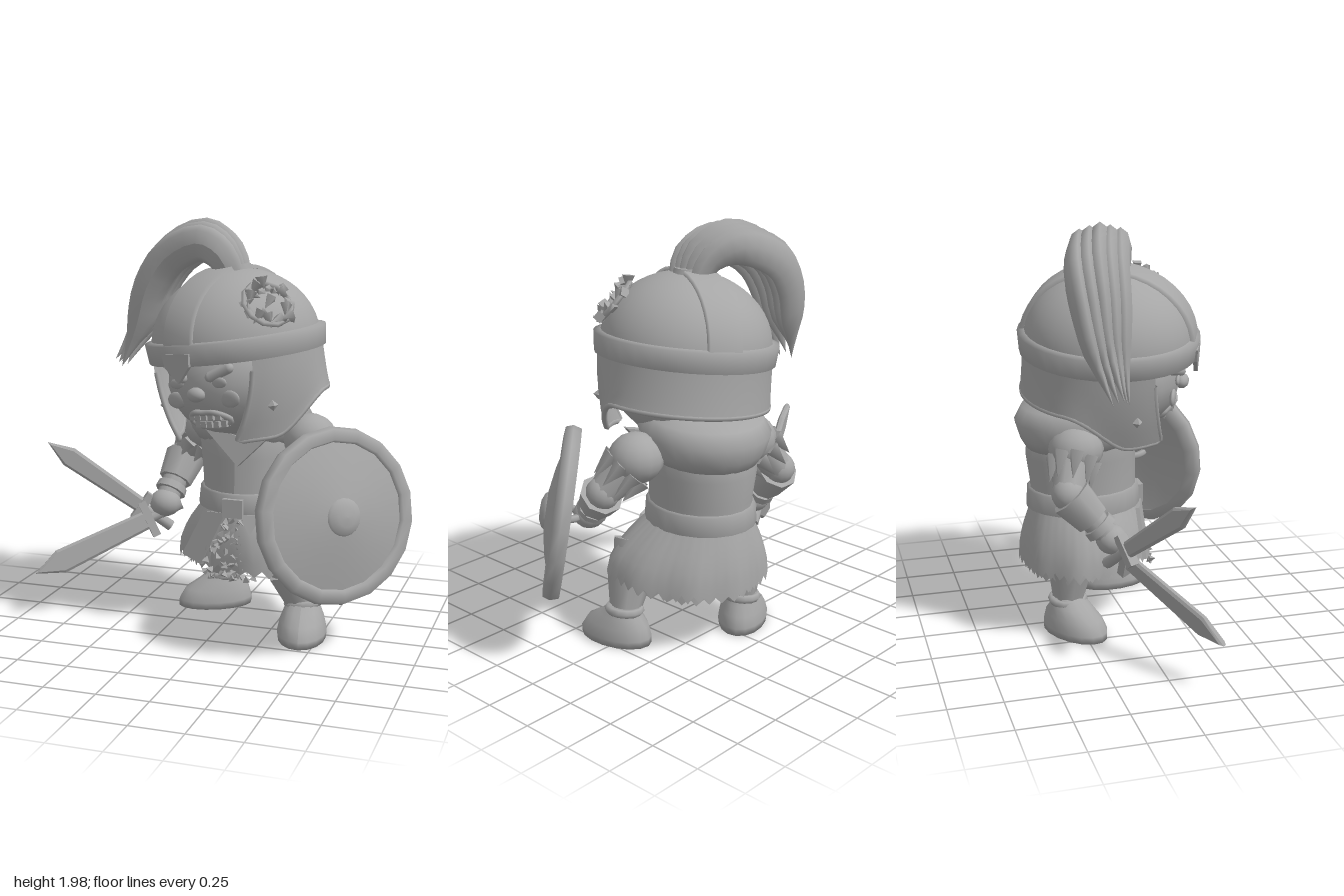
import * as THREE from 'three';

const V = (x, y, z) => new THREE.Vector3(x, y, z);
const steel = new THREE.MeshStandardMaterial({ color: 0xa6a6a6, side: THREE.DoubleSide });
steel.name = 'grey';

let seed = 7;
const rnd = () => (seed = (seed * 16807) % 2147483647) / 2147483647;

function add(parent, name, geo, pos) {
  const m = new THREE.Mesh(geo, steel);
  m.name = name;
  if (pos) m.position.copy(pos);
  parent.add(m);
  return m;
}

// surface from a grid of points f(i, j); i runs along, j runs around
function grid(ni, nj, f) {
  const p = [], idx = [];
  for (let i = 0; i <= ni; i++) for (let j = 0; j <= nj; j++) p.push(...f(i, j).toArray());
  for (let i = 0; i < ni; i++) for (let j = 0; j < nj; j++) {
    const a = i * (nj + 1) + j, b = a + nj + 1;
    idx.push(a, a + 1, b, b, a + 1, b + 1);
  }
  const g = new THREE.BufferGeometry();
  g.setAttribute('position', new THREE.Float32BufferAttribute(p, 3));
  g.setIndex(idx);
  g.computeVertexNormals();
  return g;
}

// stacked ellipses [x, y, z, rx, rz], bottom to top
const loft = (rings, n = 20) => grid(rings.length - 1, n, (i, j) => {
  const [x, y, z, rx, rz] = rings[i], a = j / n * Math.PI * 2;
  return V(x + rx * Math.sin(a), y, z + rz * Math.cos(a));
});

// flat plate from an outline of [x, y] points
const outline = pts => new THREE.Shape(pts.map(p => new THREE.Vector2(...p)));
const plate = (pts, depth) => new THREE.ExtrudeGeometry(outline(pts), { depth, bevelEnabled: false });

// tapered limb between two points
function limb(parent, name, a, b, r1, r2, n = 10) {
  const d = b.clone().sub(a);
  const m = add(parent, name, new THREE.CylinderGeometry(r2, r1, d.length(), n), a.clone().add(b).multiplyScalar(0.5));
  m.quaternion.setFromUnitVectors(V(0, 1, 0), d.normalize());
}

function ball(parent, name, pos, rx, ry, rz) {
  add(parent, name, new THREE.SphereGeometry(1, 14, 10).scale(rx, ry, rz), pos);
}

// tapered sword from guard a to tip b
function sword(parent, a, b, w) {
  const y = b.clone().sub(a), L = y.length();
  y.normalize();
  const x = y.clone().cross(V(0.3, 0.15, 1)).normalize(), z = x.clone().cross(y);
  const s = outline([[-w * 0.42, 0], [w * 0.42, 0], [w * 0.55, L * 0.78], [0, L], [-w * 0.55, L * 0.78]]);
  const g = new THREE.ExtrudeGeometry(s, { depth: 0.014, bevelThickness: 0.01, bevelSize: 0.012, bevelOffset: -0.012, bevelSegments: 1 });
  const m = add(parent, 'swordBlade', g.translate(0, 0, -0.007), a);
  m.quaternion.setFromRotationMatrix(new THREE.Matrix4().makeBasis(x, y, z));
  add(parent, 'swordGuard', new THREE.BoxGeometry(w * 1.7, 0.04, 0.05), a).quaternion.copy(m.quaternion);
  limb(parent, 'swordGrip', a.clone().addScaledVector(y, -0.18), a, 0.028, 0.024, 8);
}

function buildHead(root) {
  const head = new THREE.Group();
  head.name = 'head';
  head.position.set(0.045, 1.42, -0.065);
  head.rotation.set(0, -0.4, 0.13, 'ZYX');
  root.add(head);

  // face
  ball(head, 'face', V(0, -0.17, 0.03), 0.33, 0.28, 0.33);
  const onFace = (x, y) => V(x, y, 0.03 + 0.33 * Math.sqrt(Math.max(0, 1 - (x / 0.33) ** 2 - ((y + 0.17) / 0.28) ** 2)));
  ball(head, 'nose', onFace(0.03, -0.2), 0.05, 0.035, 0.035);
  for (const s of [-1, 1]) {
    const x = 0.03 + s * 0.12;
    ball(head, 'eye', onFace(x, -0.15), 0.045, 0.025, 0.012);
    const brow = add(head, 'brow', new THREE.CapsuleGeometry(0.025, 0.1, 4, 8).rotateZ(Math.PI / 2), onFace(x, -0.105));
    brow.rotation.set(0, s * 0.35, s * 0.35);
    ball(head, 'cheek', onFace(x + s * 0.03, -0.23), 0.06, 0.04, 0.015);
  }
  const mouth = new THREE.CatmullRomCurve3([-2, -1, 0, 1, 2, 1, 0, -1].map((x, i) =>
    onFace(0.03 + x * 0.055, -0.335 + (i > 0 && i < 4 ? 0.045 : i > 4 ? -0.03 : 0))), true);
  add(head, 'lips', new THREE.TubeGeometry(mouth, 32, 0.014, 6, true));
  for (let i = -2; i <= 2; i++) for (const y of [-0.312, -0.352])
    add(head, 'tooth', new THREE.BoxGeometry(0.032, 0.03, 0.03), onFace(0.03 + i * 0.036, y));

  // helmet dome with raised crest strip
  const dome = [];
  for (let i = 0; i <= 12; i++) {
    const a = i / 12 * Math.PI / 2;
    dome.push(new THREE.Vector2(0.405 * Math.cos(a) + 1e-4, 0.345 * Math.sin(a)));
  }
  add(head, 'helmetDome', new THREE.LatheGeometry(dome, 32));
  add(head, 'crestStrip', grid(20, 3, (i, j) => {
    const a = i / 20 * Math.PI, k = (j === 0 || j === 3) ? 0.98 : 1.035;
    return V([-0.085, -0.08, 0.08, 0.085][j], 0.345 * k * Math.sin(a), 0.405 * k * Math.cos(a));
  }));

  // brow band with a pointed front plate
  const band = [[0.395, -0.06], [0.425, -0.06], [0.435, 0.035], [0.395, 0.045]].map(p => new THREE.Vector2(...p));
  add(head, 'browBand', new THREE.LatheGeometry(band, 32));
  add(head, 'browPoint', plate([[-0.085, 0], [-0.075, -0.06], [0, -0.135], [0.075, -0.06], [0.085, 0]], 0.02), V(0, 0, 0.412));

  // neck guard and cheek plates, open around the face and closing under the chin
  const wall = (i, j, thick) => {
    const t = i / 5, open = 0.88 - 0.3 * t * t;
    const a = open + j / 40 * (Math.PI * 2 - open * 2);
    const off = Math.min(a, Math.PI * 2 - a);
    const cheek = 1 - THREE.MathUtils.smoothstep(off, 1.1, 1.9);
    const y = -0.03 - (0.23 + 0.17 * cheek) * t;
    const r = 0.41 + (0.01 - 0.075 * cheek) * t * t - thick;
    return V(r * Math.sin(a), y, r * Math.cos(a));
  };
  add(head, 'helmetWall', grid(5, 40, (i, j) => wall(i, j, 0)));
  add(head, 'helmetLining', grid(5, 40, (i, j) => wall(i, j, 0.02)));
  const edge = [];
  for (let i = 1; i < 5; i++) edge.push(wall(i, 0, 0.01));
  for (let j = 0; j <= 40; j++) edge.push(wall(5, j, 0.01));
  for (let i = 4; i > 0; i--) edge.push(wall(i, 40, 0.01));
  add(head, 'helmetEdge', new THREE.TubeGeometry(new THREE.CatmullRomCurve3(edge), 90, 0.014, 6));
  for (const s of [-1, 1])
    add(head, 'cheekRivet', new THREE.OctahedronGeometry(0.026), V(s * 0.34, -0.28, 0.19)).rotation.y = s;

  // torn patch on the dome
  const n = V(0.8, 0.51, 0.31);
  const patch = new THREE.Group();
  patch.name = 'tornPatch';
  patch.position.set(n.x * 0.405, n.y * 0.345, n.z * 0.405);
  patch.quaternion.setFromUnitVectors(V(0, 0, 1), V(n.x / 0.405, n.y / 0.345, n.z / 0.405).normalize());
  head.add(patch);
  add(patch, 'tornRing', new THREE.TorusGeometry(0.115, 0.014, 5, 11));
  for (let i = 0; i < 20; i++) {
    const a = i * 2.4, r = 0.11 * Math.sqrt(rnd());
    add(patch, 'shard', new THREE.ConeGeometry(0.03, 0.07, 4), V(r * Math.cos(a), r * Math.sin(a), 0.005))
      .rotation.set(rnd() * 3, rnd() * 3, rnd() * 3);
  }
}

// plume made of flattened strands along an arching path
function buildPlume(root) {
  const base = [[0.05, 1.72, -0.07], [-0.01, 1.85, -0.09], [-0.13, 1.905, -0.15], [-0.31, 1.83, -0.21], [-0.42, 1.68, -0.22], [-0.48, 1.5, -0.21], [-0.625, 1.28, -0.17]];
  for (let k = -2; k <= 2; k++) {
    const path = new THREE.CatmullRomCurve3(base.map(([x, y, z], i) =>
      V(x + (i === 6 ? Math.abs(k) * 0.025 : 0), y - Math.abs(k) * 0.014, z + k * 0.05 * Math.sin(0.55 + i * 0.37))));
    add(root, 'plumeStrand', grid(18, 8, (i, j) => {
      const t = i / 18, a = j / 8 * Math.PI * 2, c = path.getPoint(t), d = path.getTangent(t);
      const side = V(0, 0, 1).addScaledVector(d, -d.z).normalize(), n = side.clone().cross(d);
      const w = (t < 0.82 ? 1 : (1 - t) / 0.18) * (0.65 + 0.35 * Math.sin(Math.PI * t));
      return c.addScaledVector(side, Math.cos(a) * 0.05 * w).addScaledVector(n, Math.sin(a) * 0.092 * w);
    }));
  }
  add(root, 'plumeSocket', new THREE.CylinderGeometry(0.07, 0.1, 0.08, 12), V(0.04, 1.745, -0.08));
}

function buildBody(root) {
  add(root, 'torso', loft([[0.08, 0.58, -0.19, 0.23, 0.26], [0.08, 0.72, -0.19, 0.225, 0.26], [0.08, 0.86, -0.2, 0.24, 0.27], [0.07, 1.02, -0.19, 0.24, 0.26], [0.06, 1.12, -0.15, 0.15, 0.15]]));
  add(root, 'belt', loft([[0.08, 0.6, -0.19, 0.23, 0.26], [0.08, 0.6, -0.19, 0.25, 0.28], [0.08, 0.69, -0.19, 0.24, 0.275], [0.08, 0.7, -0.19, 0.22, 0.25]]));
  add(root, 'buckle', new THREE.BoxGeometry(0.1, 0.09, 0.03), V(0.08, 0.63, 0.09));
  // draped scarf with a point on the chest
  const rings = [[0.93, 0.2, 0.22], [0.92, 0.25, 0.26], [0.97, 0.285, 0.29], [1.05, 0.31, 0.315], [1.12, 0.27, 0.28], [1.15, 0.18, 0.18]];
  add(root, 'scarf', grid(5, 24, (i, j) => {
    const [y, rx, rz] = rings[i], a = j / 24 * Math.PI * 2;
    return V(0.07 + rx * Math.sin(a), y + 0.02 * Math.cos(a), -0.205 + rz * Math.cos(a));
  }));
  add(root, 'scarfPoint', plate([[-0.2, 0.06], [0, -0.14], [0.2, 0.06], [0, 0]], 0.03), V(0.11, 0.98, 0.07)).rotation.x = -0.15;

  // ragged skirt, parted at the front and pushed out over the forward leg
  const skirt = (gap, rx, rz, drop, n) => grid(5, n, (i, j) => {
    const a = gap + j / n * (Math.PI * 2 - 2 * gap), t = i / 5;
    const hem = 0.34 + 0.02 * Math.cos(a) + drop + (j % 2 ? 0.035 : 0) + rnd() * 0.012;
    const s = Math.sin(t * Math.PI / 2), fold = 1 + 0.02 * t * Math.sin(a * 9);
    const push = 0.075 * s * Math.max(0, Math.sin(a + Math.PI / 4)) ** 2;
    return V(0.085 + (0.225 + rx * s) * Math.sin(a) * fold + push, 0.62 + (hem - 0.62) * t, -0.19 + (0.25 + rz * s) * Math.cos(a) * fold + push);
  });
  add(root, 'skirt', skirt(0.36, 0.13, 0.06, -0.03, 72));
  add(root, 'innerSkirt', skirt(0, 0.085, 0.03, -0.06, 60));
  for (let i = 0; i < 60; i++) {
    const y = 0.29 + rnd() * 0.28, x = 0.08 + (rnd() - 0.5) * (0.66 - y) * 0.95;
    add(root, 'frayedThread', new THREE.TetrahedronGeometry(0.024), V(x, y, 0.075 + (0.57 - y) * 0.18)).rotation.set(rnd() * 6, rnd() * 6, 0);
  }
  for (const s of [-1, 1])
    add(root, 'skirtFlap', plate([[0, 0], [s * 0.13, 0], [s * 0.25, -0.22], [s * 0.13, -0.26]], 0.02), V(0.08 + s * 0.03, 0.6, 0.08)).rotation.set(-0.2, s * 0.35, 0);
}

function buildLeg(root, hip, ankle, yaw) {
  const knee = ankle.clone().lerp(hip, 0.55);
  limb(root, 'thigh', knee, hip, 0.09, 0.105, 12);
  limb(root, 'shinGuard', ankle, knee, 0.07, 0.112, 8);
  add(root, 'legCuff', new THREE.TorusGeometry(0.075, 0.022, 6, 14).rotateX(Math.PI / 2), V(ankle.x, 0.17, ankle.z)).rotation.z = 0.12;
  // boot: heel and toe as one tapering stack
  const boot = add(root, 'boot', loft([[0, 0.01, 0.05, 0, 0], [0, 0.01, 0.05, 0.115, 0.19], [0, 0.045, 0.05, 0.12, 0.19], [0, 0.1, 0.04, 0.108, 0.165], [0, 0.145, 0.02, 0.09, 0.11], [0, 0.19, 0, 0.07, 0.075]], 16), V(ankle.x, 0, ankle.z));
  boot.rotation.y = yaw;
}

function buildArm(root, s, e, h) {
  ball(root, 'shoulder', s, 0.13, 0.12, 0.13);
  limb(root, 'upperArm', s, e, 0.1, 0.075);
  ball(root, 'elbow', e, 0.08, 0.08, 0.08);
  limb(root, 'forearm', e, h, 0.075, 0.055);
  limb(root, 'armGuard', e.clone().lerp(h, 0.05), e.clone().lerp(h, 0.55), 0.105, 0.085, 8);
  limb(root, 'wristWrap', e.clone().lerp(h, 0.65), e.clone().lerp(h, 0.78), 0.075, 0.08, 10);
  ball(root, 'fist', h, 0.08, 0.07, 0.075);
  // torn sleeve spikes
  const d = e.clone().sub(s).normalize(), q = new THREE.Quaternion().setFromUnitVectors(V(0, 1, 0), d);
  for (let i = 0; i < 8; i++) {
    const o = V(Math.cos(i * Math.PI / 4) * 0.095, 0, Math.sin(i * Math.PI / 4) * 0.095).applyQuaternion(q);
    add(root, 'sleeveTatter', new THREE.ConeGeometry(0.045, 0.13, 4), s.clone().lerp(e, 0.55).add(o)).quaternion.copy(q);
  }
}

// round shield, leaning back at the top
function buildShield(root) {
  const g = new THREE.Group();
  g.name = 'shield';
  g.position.set(0.61, 0.67, 0.205);
  g.rotation.set(-0.16, 0.79, 0, 'YXZ');
  root.add(g);
  const turn = pts => new THREE.LatheGeometry(pts.map(p => new THREE.Vector2(...p)), 18).rotateX(Math.PI / 2);
  add(g, 'shieldRim', turn([[0.345, -0.04], [0.4, -0.04], [0.412, 0], [0.4, 0.035], [0.35, 0.04], [0.34, 0.02]]));
  add(g, 'shieldFace', turn([[0.35, 0.015], [0.2, 0.055], [0.08, 0.075]]));
  add(g, 'shieldBack', turn([[0.35, -0.02], [0.2, 0.015], [0.001, 0.03]]));
  add(g, 'shieldBoss', turn([[0.09, 0.07], [0.08, 0.085], [0.045, 0.1], [0.001, 0.103]]));
  add(g, 'shieldGrip', new THREE.TorusGeometry(0.08, 0.018, 6, 12, Math.PI), V(0, 0, -0.005)).rotation.x = -Math.PI / 2;
}

export function createModel() {
  const root = new THREE.Group();
  root.name = 'gladiator';
  buildHead(root);
  buildPlume(root);
  buildBody(root);
  buildLeg(root, V(-0.09, 0.48, -0.28), V(-0.09, 0.14, -0.31), -1.05);
  buildLeg(root, V(0.29, 0.48, 0.04), V(0.41, 0.14, 0), 0.15);
  buildArm(root, V(-0.17, 0.95, -0.28), V(-0.31, 0.78, -0.35), V(-0.36, 0.56, -0.16));
  buildArm(root, V(0.41, 0.96, -0.09), V(0.54, 0.8, 0), V(0.51, 0.66, 0.12));
  sword(root, V(-0.43, 0.48, -0.11), V(-0.92, 0.235, 0.2), 0.11);
  sword(root, V(-0.47, 0.54, -0.12), V(-0.9, 0.88, 0.06), 0.09);
  buildShield(root);
  return root;
}
